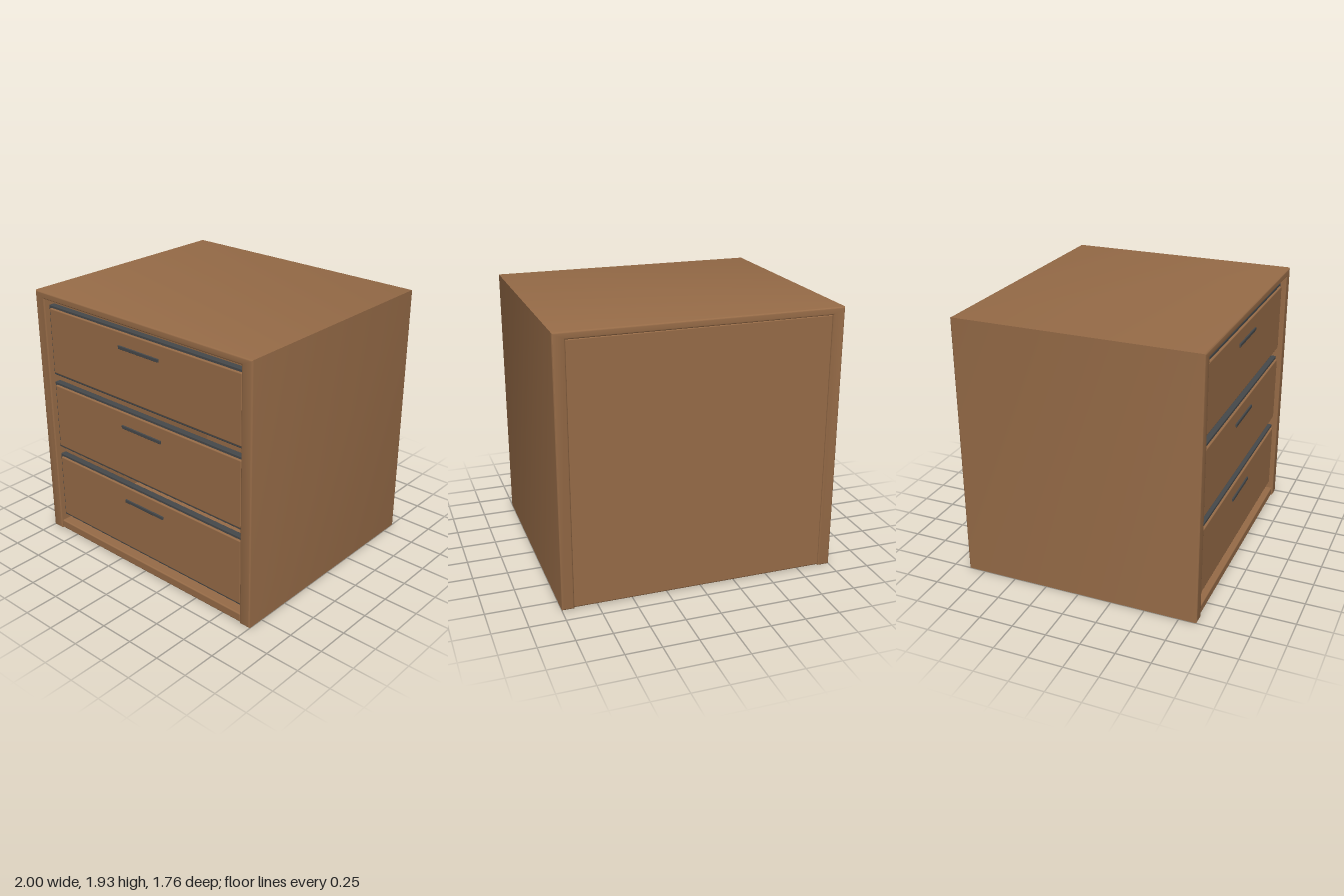
import * as THREE from 'three';
import { toCreasedNormals } from 'three/addons/utils/BufferGeometryUtils.js';
import { RoundedBoxGeometry } from 'three/addons/geometries/RoundedBoxGeometry.js';

export function createModel() {
  const wood = new THREE.MeshStandardMaterial({ color: 0x966b47 });
  wood.name = 'brown wood';
  const dark = new THREE.MeshStandardMaterial({ color: 0x45484a });
  dark.name = 'dark grey trim';

  const model = new THREE.Group();
  model.name = 'drawerCabinet';

  const W = 1, H = 1.93, D = 0.88;      // half width, height, half depth
  const inX = 0.913, inTop = 1.878;     // inner opening of the shell

  // Box given by its limits, with softly rounded edges
  function box(name, material, parent, x, y0, y1, z0, z1, r) {
    const geo = new RoundedBoxGeometry(2 * x, y1 - y0, z1 - z0, 3, r);
    const mesh = new THREE.Mesh(geo, material);
    mesh.name = name;
    mesh.position.set(0, (y0 + y1) / 2, (z0 + z1) / 2);
    parent.add(mesh);
    return mesh;
  }

  // Shell: both sides and the top in one piece, extruded front to back
  const outline = new THREE.Shape([
    [-W, 0], [-inX, 0], [-inX, inTop], [inX, inTop],
    [inX, 0], [W, 0], [W, H], [-W, H],
  ].map(([x, y]) => new THREE.Vector2(x, y)));
  const bevel = 0.012;
  const shellGeo = new THREE.ExtrudeGeometry(outline, {
    depth: 2 * (D - bevel), bevelThickness: bevel, bevelSize: bevel,
    bevelOffset: -bevel, bevelSegments: 3, steps: 1,
  });
  shellGeo.translate(0, 0, -(D - bevel));
  const shell = new THREE.Mesh(toCreasedNormals(shellGeo, 0.7), wood);
  shell.name = 'shell';
  model.add(shell);

  // Floor and back panel fill the shell
  box('floorPanel', wood, model, inX, 0.003, 0.07, -D + 0.01, D - 0.01, 0.01);
  box('backPanel', wood, model, inX, 0.01, inTop, -D + 0.006, -D + 0.08, 0.006);

  // Three drawer fronts: dark backing, raised wooden panel, slim handle
  for (let i = 0; i < 3; i++) {
    const y = 0.11 + i * 0.592;
    const drawer = new THREE.Group();
    drawer.name = 'drawer' + (i + 1);
    box('drawerTrim', dark, drawer, 0.912, y, y + 0.533, 0.79, 0.835, 0.004);
    box('drawerPanel', wood, drawer, 0.893, y + 0.02, y + 0.515, 0.81, 0.85, 0.008);
    box('drawerHandle', dark, drawer, 0.187, y + 0.394, y + 0.418, 0.84, 0.86, 0.003);
    model.add(drawer);
  }
  return model;
}
